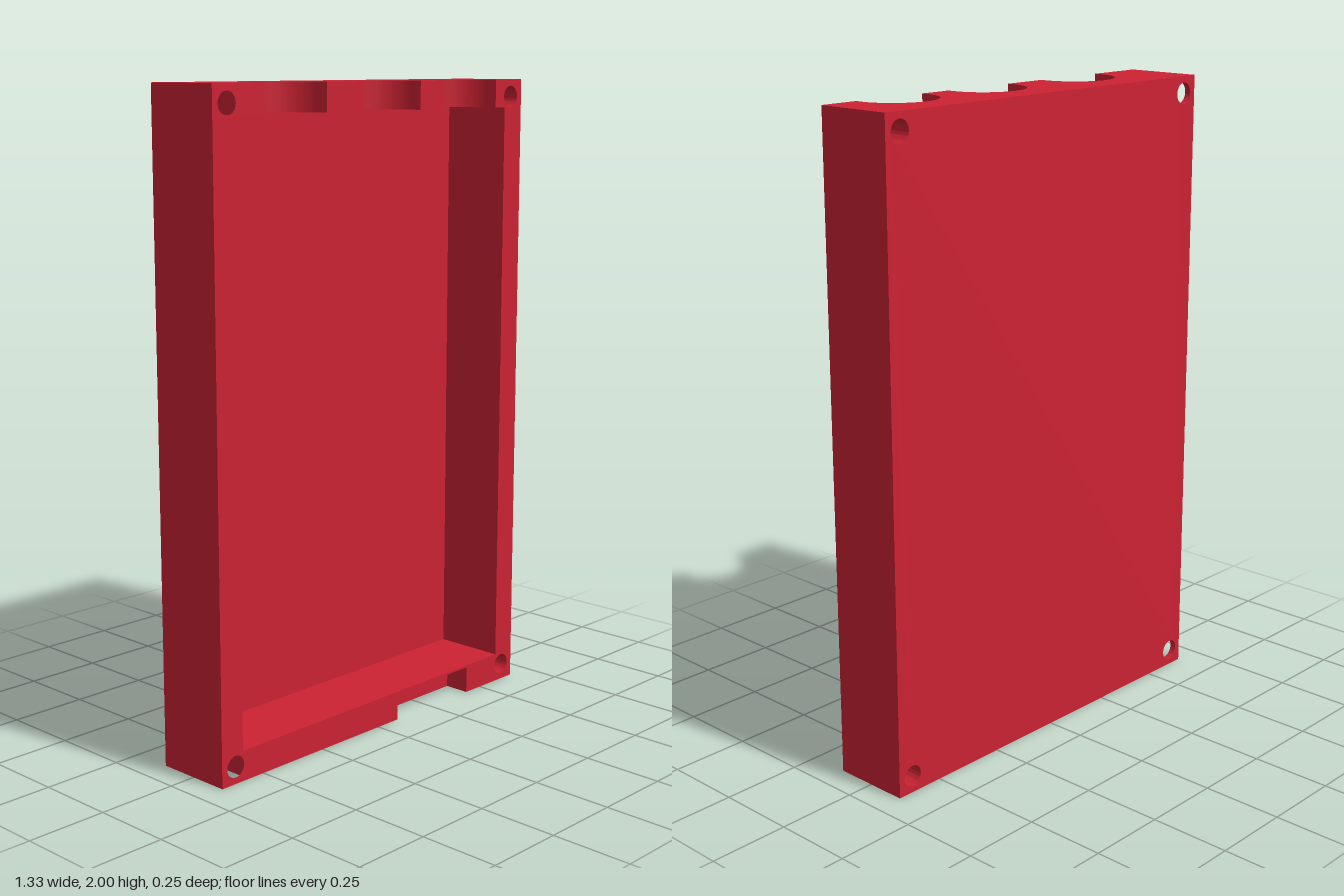
import * as THREE from 'three';
import { toCreasedNormals } from 'three/addons/utils/BufferGeometryUtils.js';

const W = 0.663, H = 2, BACK = -0.125, FRONT = 0.125, FLOOR = -0.105;
const CAVITY = { x: 0.581, bottom: 0.093, top: 1.913 };
const JOIN = 0.56; // x where the end walls meet the corner blocks
const HOLE = { x: 0.61, y: 0.053, r: 0.033 };

const material = new THREE.MeshStandardMaterial({ color: 0xcc2233 });

function extrude(shape, depth) {
  return new THREE.ExtrudeGeometry(shape, { depth, bevelEnabled: false, curveSegments: 40 });
}

function polygon(points) {
  return new THREE.Shape(points.map(([x, y]) => new THREE.Vector2(x, y)));
}

function addMesh(group, name, geometry) {
  const mesh = new THREE.Mesh(toCreasedNormals(geometry, 0.5), material);
  mesh.name = name;
  group.add(mesh);
}

function addScrewHole(shape, x, y) {
  const hole = new THREE.Path();
  hole.absarc(x, y, HOLE.r, 0, Math.PI * 2, true);
  shape.holes.push(hole);
}

// Extrudes an x-z profile downwards from height top to height bottom
function slab(shape, bottom, top) {
  return extrude(shape, top - bottom).rotateX(Math.PI / 2).translate(0, top, 0);
}

export function createModel() {
  const group = new THREE.Group();
  group.name = 'enclosure';

  // Thin back panel with four screw holes
  const panel = polygon([[-W, 0], [W, 0], [W, H], [-W, H]]);
  for (const s of [-1, 1]) for (const y of [HOLE.y, H - HOLE.y]) addScrewHole(panel, s * HOLE.x, y);
  addMesh(group, 'backPanel', extrude(panel, FLOOR - BACK).translate(0, 0, BACK));

  // Side walls, each with a drilled block at both ends
  for (const s of [-1, 1]) {
    const wall = polygon([
      [s * W, 0], [s * W, H], [s * JOIN, H], [s * JOIN, CAVITY.top],
      [s * CAVITY.x, CAVITY.top], [s * CAVITY.x, CAVITY.bottom],
      [s * JOIN, CAVITY.bottom], [s * JOIN, 0],
    ]);
    for (const y of [HOLE.y, H - HOLE.y]) addScrewHole(wall, s * HOLE.x, y);
    addMesh(group, s > 0 ? 'leftWall' : 'rightWall',
      extrude(wall, FRONT - FLOOR).translate(0, 0, FLOOR));
  }

  // Top wall with three round cable cutouts open to the front
  const r = 0.127, cz = 0.105;
  const a = Math.asin((FRONT - cz) / r);
  const top = new THREE.Shape();
  top.moveTo(-JOIN, FLOOR);
  top.lineTo(-JOIN, FRONT);
  for (const cx of [-0.35, 0.052, 0.41]) {
    top.lineTo(cx - r * Math.cos(a), FRONT);
    top.absarc(cx, cz, r, Math.PI - a, Math.PI * 2 + a, false);
  }
  top.lineTo(JOIN, FRONT);
  top.lineTo(JOIN, FLOOR);
  addMesh(group, 'topWall', slab(top, CAVITY.top, H));

  // Bottom wall with a rectangular port notch under a thin lip
  const x0 = 0.09, x1 = 0.43, notchZ = 0.042, notchTop = 0.086;
  const bottom = polygon([
    [-JOIN, FLOOR], [JOIN, FLOOR], [JOIN, FRONT], [x1, FRONT],
    [x1, notchZ], [x0, notchZ], [x0, FRONT], [-JOIN, FRONT],
  ]);
  addMesh(group, 'bottomWall', slab(bottom, 0, notchTop));
  const lip = polygon([[-JOIN, FLOOR], [JOIN, FLOOR], [JOIN, FRONT], [-JOIN, FRONT]]);
  addMesh(group, 'bottomLip', slab(lip, notchTop, CAVITY.bottom));

  return group;
}
